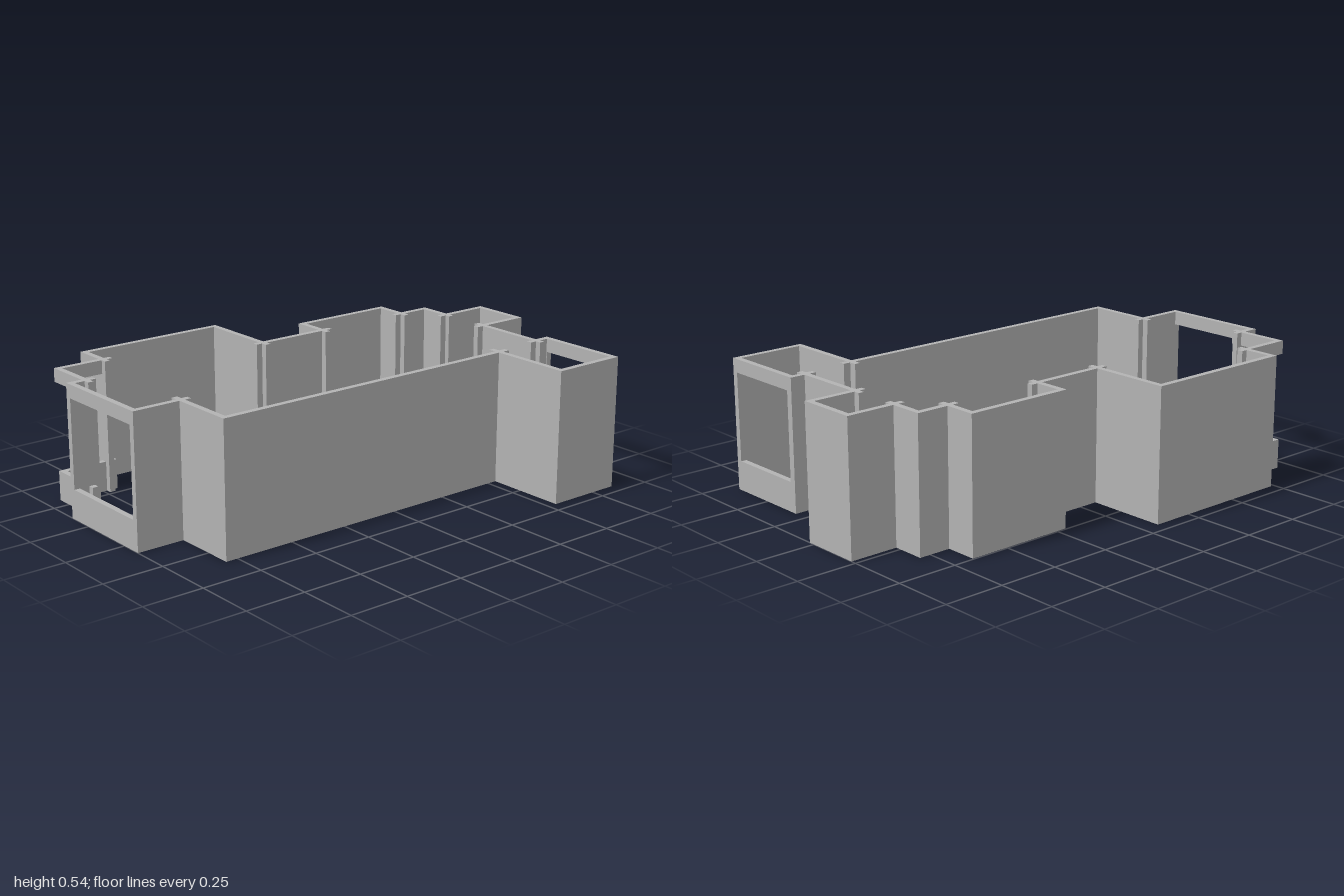
import * as THREE from 'three';

const H = 0.54;            // wall height
const T = 0.024;           // wall thickness
const SILL = 0.122, HEAD = 0.485; // opening bottom and top

export function createModel() {
  const model = new THREE.Group();
  model.name = 'houseWalls';
  const plaster = new THREE.MeshStandardMaterial({ color: 0xb2b2b2 });
  plaster.name = 'grey plaster';

  function box(parent, name, x0, x1, y0, y1, z0, z1) {
    const mesh = new THREE.Mesh(new THREE.BoxGeometry(x1 - x0, y1 - y0, z1 - z0), plaster);
    mesh.position.set((x0 + x1) / 2, (y0 + y1) / 2, (z0 + z1) / 2);
    mesh.name = name;
    parent.add(mesh);
  }

  // A wall runs from a to b along one axis; c is its lower edge on the other axis.
  // The optional opening is a [from, to] range along the run.
  function wall(name, axis, c, a, b, opening) {
    const group = new THREE.Group();
    group.name = name;
    const piece = (part, s, e, y0, y1) => {
      if (e - s < 0.001) return;
      if (axis === 'x') box(group, part, s, e, y0, y1, c, c + T);
      else box(group, part, c, c + T, y0, y1, s, e);
    };
    if (!opening) piece('panel', a, b, 0, H);
    else {
      const [s, e] = opening;
      piece('sill', a, b, 0, SILL);
      piece('lintel', a, b, HEAD, H);
      piece('jamb', a, s, SILL, HEAD);
      piece('jamb', e, b, SILL, HEAD);
    }
    model.add(group);
  }

  // Right-hand side of the plan, seen from the front: bay with a wide window
  wall('windowBayWall', 'z', -1, -0.364, 0.09, [-0.34, 0.066]);
  wall('windowBayFrontReturn', 'x', 0.066, -1, -0.75);
  wall('windowBayBackReturn', 'x', -0.364, -1, -0.885);

  // Front
  wall('frontCornerWall', 'z', -0.8, 0.04, 0.36);
  wall('frontWall', 'x', 0.336, -0.8, 0.595);

  // Front porch with a side window
  wall('porchInnerWall', 'z', 0.54, 0.305, 0.698);
  wall('porchFrontWall', 'x', 0.674, 0.54, 0.86);
  wall('porchWindowWall', 'z', 0.836, 0.31, 0.698, [0.337, 0.676]);
  wall('porchBackWall', 'x', 0.31, 0.745, 0.86);

  // Left-hand side with a small projecting bay
  wall('sideWall', 'z', 0.773, -0.025, 0.358);
  wall('sideBayFrontWall', 'x', 0.001, 0.745, 1);
  wall('sideBayWall', 'z', 0.976, -0.227, 0.025);
  wall('sideBayBackWall', 'x', -0.227, 0.745, 1);
  wall('sideCornerWall', 'z', 0.773, -0.364, -0.182);
  wall('backCornerWall', 'x', -0.364, 0.61, 0.797);

  // Shallow back bay
  wall('backBaySideWall', 'z', 0.638, -0.495, -0.315);
  wall('backBayWall', 'x', -0.495, 0.205, 0.662);
  wall('backBaySideWall', 'z', 0.205, -0.495, -0.315);
  wall('backLinkWall', 'x', -0.364, -0.13, 0.257);

  // Deep back room
  wall('backRoomSideWall', 'z', -0.104, -0.698, -0.315);
  wall('backRoomWall', 'x', -0.698, -0.734, -0.08);
  wall('backRoomSideWall', 'z', -0.734, -0.698, -0.517);

  // Corner window: both walls are open right round the corner
  wall('cornerWindowBack', 'x', -0.564, -0.934, -0.685, [-0.934, -0.685]);
  wall('cornerWindowSide', 'z', -0.934, -0.564, -0.315, [-0.564, -0.315]);

  return model;
}
